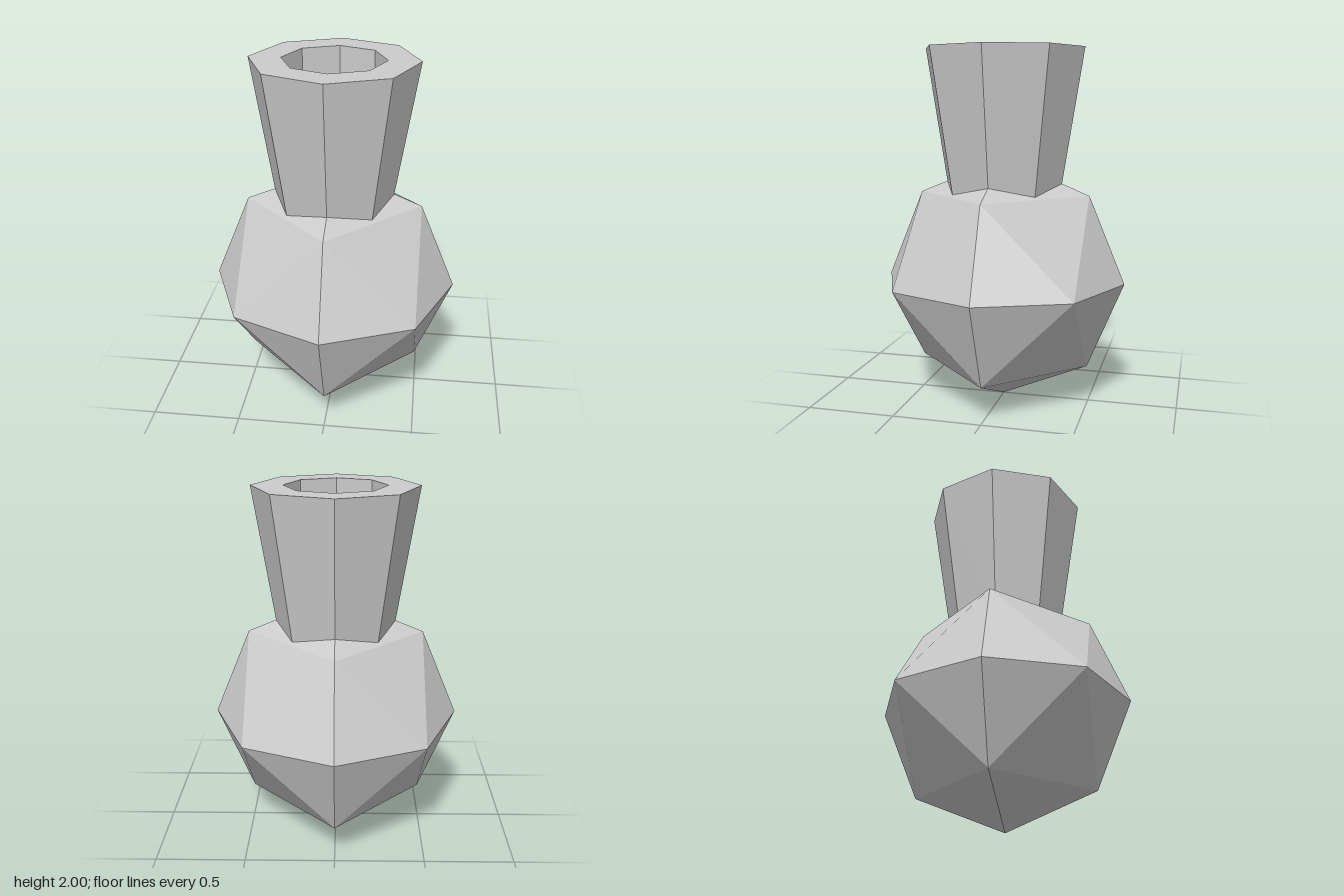
import * as THREE from 'three';

export function createModel() {
  const group = new THREE.Group();
  const material = new THREE.MeshStandardMaterial({ color: 0xcccccc, flatShading: true });

  // Faceted round body
  const body = new THREE.Mesh(new THREE.OctahedronGeometry(0.694, 1), material);
  body.name = 'body';
  body.position.y = 0.697;
  group.add(body);

  // Eight-sided flared neck with a straight recess; its foot is sunk into the body
  const profile = [
    [0, 1.1], [0.311, 1.1], // foot
    [0.455, 2], [0.28, 2], // rim
    [0.28, 1.45], [0, 1.45], // recess wall and floor
  ].map(([r, y]) => new THREE.Vector2(r, y));
  const neck = new THREE.Mesh(new THREE.LatheGeometry(profile, 8), material);
  neck.name = 'neck';
  group.add(neck);

  return group;
}
